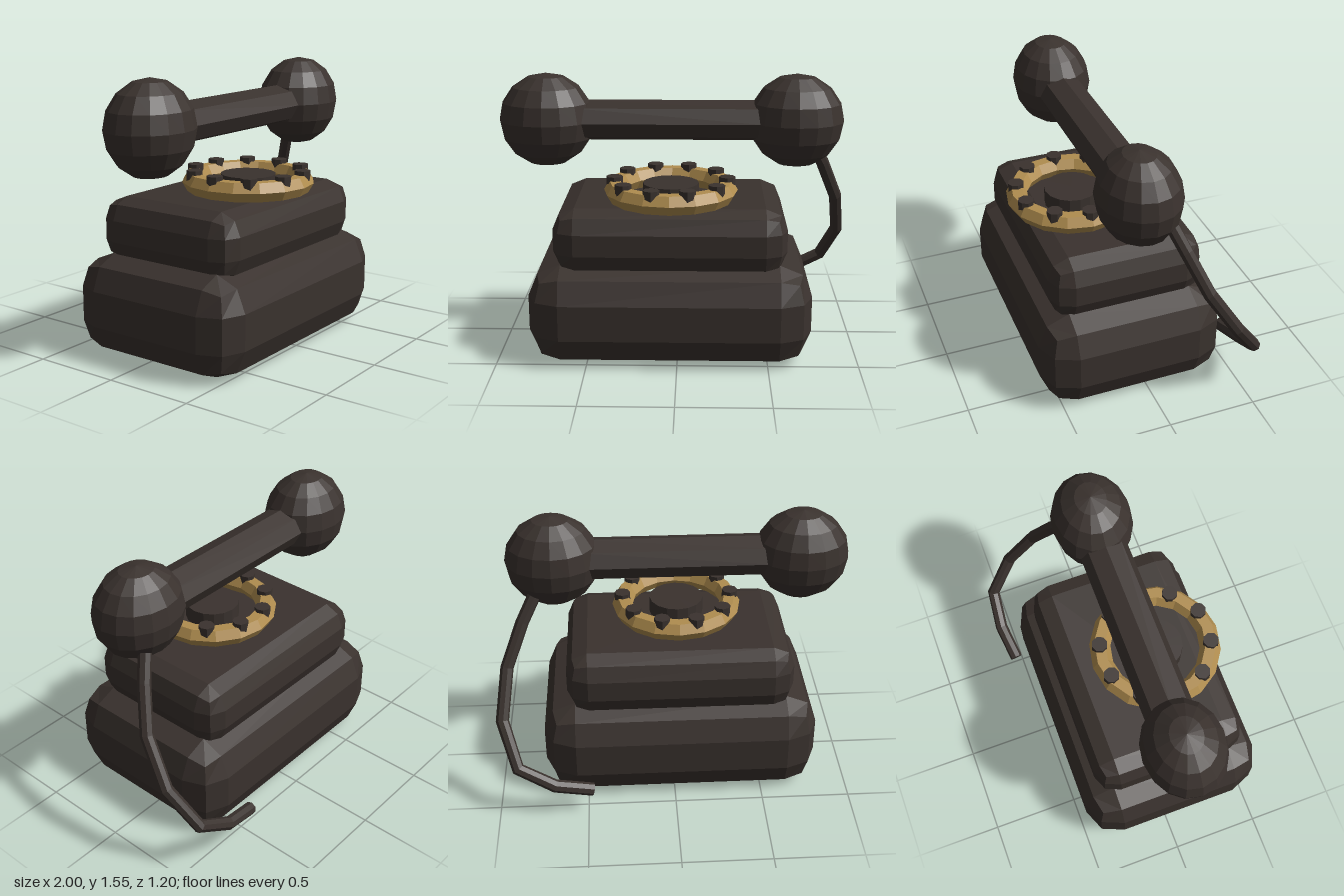
import * as THREE from 'three';
import { RoundedBoxGeometry } from 'three/addons/geometries/RoundedBoxGeometry.js';

const dark = new THREE.MeshStandardMaterial({ color: 0x3a322e, flatShading: true });
const gold = new THREE.MeshStandardMaterial({ color: 0xb08d4f, flatShading: true });

export function createModel() {
  const model = new THREE.Group();
  model.name = 'rotaryTelephone';
  const cx = -0.04, cz = 0.07;

  const add = (name, geometry, material, x, y, z, parent = model) => {
    const mesh = new THREE.Mesh(geometry, material);
    mesh.name = name;
    mesh.position.set(x, y, z);
    parent.add(mesh);
    return mesh;
  };

  // Two stacked body blocks with two-step bevels
  add('lowerBody', new RoundedBoxGeometry(1.56, 0.56, 1.06, 1, 0.18), dark, cx, 0.28, cz);
  add('upperBody', new RoundedBoxGeometry(1.28, 0.36, 0.88, 1, 0.12), dark, cx, 0.69, cz);

  // Dial: brass ring, centre disc and ten finger studs
  const dial = new THREE.Group();
  dial.name = 'dial';
  dial.position.set(cx, 0.925, 0.19);
  model.add(dial);
  add('dialRing', new THREE.TorusGeometry(0.312, 0.06, 6, 16).rotateX(Math.PI / 2), gold, 0, 0, 0, dial);
  add('dialCentre', new THREE.CylinderGeometry(0.155, 0.155, 0.1, 16), dark, 0, -0.01, 0, dial);
  for (let i = 0; i < 10; i++) {
    const a = (i / 10) * Math.PI * 2;
    add('dialStud', new THREE.CylinderGeometry(0.045, 0.045, 0.08, 8), dark,
      0.312 * Math.cos(a), 0.035, 0.312 * Math.sin(a), dial);
  }

  // Handset: octagonal grip with an egg-shaped cup at each end
  const handset = new THREE.Group();
  handset.name = 'handset';
  handset.position.set(cx, 1.293, cz);
  model.add(handset);
  const grip = new THREE.CylinderGeometry(1, 1, 1.04, 8).rotateZ(Math.PI / 2).scale(1, 0.113, 0.135);
  add('handsetGrip', grip, dark, 0, 0, 0, handset);
  for (const [side, name] of [[-1, 'rightCup'], [1, 'leftCup']]) {
    add(name, new THREE.SphereGeometry(1, 16, 8).scale(0.265, 0.262, 0.225), dark, side * 0.695, 0, 0, handset);
  }

  // Cord from the left cup down to the back, one tube section per point
  const points = [
    [0.76, 1.14, -0.07], [0.83, 1.01, -0.125], [0.925, 0.78, -0.225], [0.96, 0.53, -0.385],
    [0.88, 0.31, -0.54], [0.68, 0.2, -0.565], [0.47, 0.145, -0.54],
  ].map((p) => new THREE.Vector3(...p));
  const curve = new THREE.CatmullRomCurve3(points);
  curve.getPointAt = curve.getPoint;
  curve.getTangentAt = curve.getTangent;
  add('cord', new THREE.TubeGeometry(curve, points.length - 1, 0.037, 8), dark, 0, 0, 0);
  const end = points[points.length - 1];
  const cap = add('cordEnd', new THREE.CircleGeometry(0.037, 8), dark, end.x, end.y, end.z);
  cap.lookAt(end.clone().add(curve.getTangent(1)));

  return model;
}
